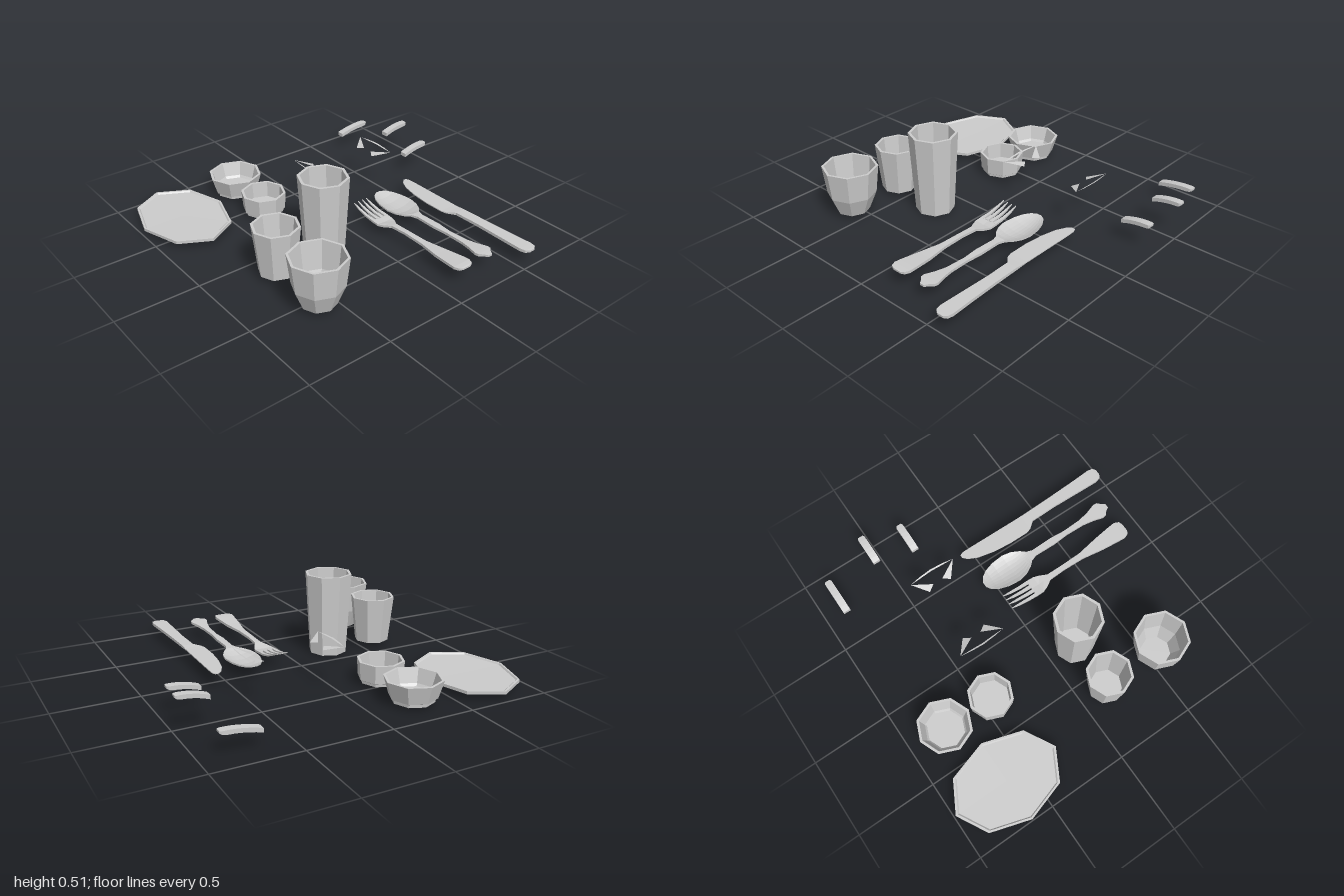
import * as THREE from 'three';

const material = new THREE.MeshStandardMaterial({ color: 0xcccccc, flatShading: true, side: THREE.DoubleSide });

function add(parent, name, geometry, x = 0, y = 0, z = 0) {
  const mesh = new THREE.Mesh(geometry, material);
  mesh.name = name;
  mesh.position.set(x, y, z);
  parent.add(mesh);
  return mesh;
}

// Eight-sided turned vessel; profile runs up the outside and down the inside
function vessel(parent, name, x, z, profile) {
  const points = profile.map(([r, y]) => new THREE.Vector2(r, y));
  return add(parent, name, new THREE.LatheGeometry(points, 8), x, 0, z);
}

// Solid strip along z. Station: [z, xLeft, xRight, topY, thickness, sag in the middle]
function strip(stations, columns = 2) {
  const pos = [], index = [], n = 2 * (columns + 1);
  for (const [z, xl, xr, y, thick, sag = 0] of stations) {
    const row = [];
    for (let j = 0; j <= columns; j++) {
      const u = j / columns;
      row.push([xl + (xr - xl) * u, y - sag * (1 - (2 * u - 1) ** 2), z]);
    }
    row.forEach((p) => pos.push(...p));
    row.reverse().forEach((p) => pos.push(p[0], p[1] - thick, p[2]));
  }
  const quad = (a, b, c, d) => index.push(a, b, c, a, c, d);
  for (let i = 0; i < stations.length - 1; i++) {
    for (let k = 0; k < n; k++) {
      const m = (k + 1) % n;
      quad(i * n + k, (i + 1) * n + k, (i + 1) * n + m, i * n + m);
    }
  }
  const last = (stations.length - 1) * n;
  for (let j = 0; j < columns; j++) {
    quad(j, j + 1, n - 2 - j, n - 1 - j);
    quad(last + n - 1 - j, last + n - 2 - j, last + j + 1, last + j);
  }
  const geometry = new THREE.BufferGeometry();
  geometry.setAttribute('position', new THREE.Float32BufferAttribute(pos, 3));
  geometry.setIndex(index);
  geometry.computeVertexNormals();
  return geometry;
}

// Symmetric stations: [z, halfWidth, topY, thickness, sag]
const even = (rows) => rows.map(([z, w, y, t, s = 0]) => [z, -w, w, y, t, s]);

export function createModel() {
  const model = new THREE.Group();
  model.name = 'tableware';

  // Oval plate on a low foot
  vessel(model, 'plate', -0.733, -0.639, [
    [0, 0.025], [0.18, 0.025], [0.185, 0.02], [0.2, 0.02], [0.205, 0.037],
    [0.263, 0.042], [0.263, 0.06], [0.252, 0.06], [0.245, 0.052], [0, 0.05],
  ]).scale.z = 0.35 / 0.263;

  // Bowls with recessed feet
  vessel(model, 'wideBowl', -0.28, -0.762, [
    [0, 0.032], [0.1, 0.032], [0.105, 0.018], [0.122, 0.018], [0.124, 0.036], [0.137, 0.042],
    [0.168, 0.147], [0.152, 0.147], [0.126, 0.065], [0.115, 0.05], [0, 0.05],
  ]);
  vessel(model, 'smallBowl', -0.278, -0.44, [
    [0, 0.032], [0.095, 0.032], [0.1, 0.018], [0.12, 0.018], [0.122, 0.034], [0.132, 0.04],
    [0.14, 0.147], [0.124, 0.147], [0.116, 0.05], [0, 0.05],
  ]);

  // Glasses and cup
  vessel(model, 'tallGlass', -0.278, 0.174, [
    [0, 0.003], [0.118, 0.003], [0.148, 0.51], [0.131, 0.51], [0.109, 0.025], [0, 0.025],
  ]);
  vessel(model, 'shortGlass', -0.603, 0.172, [
    [0, 0.03], [0.108, 0.03], [0.14, 0.32], [0.124, 0.32], [0.1, 0.048], [0, 0.048],
  ]);
  vessel(model, 'cup', -0.603, 0.55, [
    [0, 0.03], [0.1, 0.03], [0.147, 0.145], [0.168, 0.32], [0.153, 0.32],
    [0.133, 0.15], [0.092, 0.05], [0, 0.05],
  ]);

  // Fork: handle and head, then four tines
  const fork = new THREE.Group();
  fork.name = 'fork';
  fork.position.x = 0.155;
  model.add(fork);
  add(fork, 'forkHandle', strip(even([
    [0.16, 0.059, 0.08, 0.013, 0.003], [0.21, 0.058, 0.076, 0.013, 0.004], [0.25, 0.043, 0.08, 0.013],
    [0.29, 0.019, 0.088, 0.014], [0.4, 0.016, 0.094, 0.016], [0.54, 0.02, 0.094, 0.016],
    [0.68, 0.043, 0.098, 0.017], [0.8, 0.057, 0.106, 0.016], [0.84, 0.06, 0.108, 0.016],
    [0.87, 0.048, 0.107, 0.014], [0.88, 0.025, 0.105, 0.011],
  ])));
  for (const x of [-0.048, -0.016, 0.016, 0.048]) {
    add(fork, 'tine', strip(even([
      [-0.022, 0.002, 0.115, 0.005], [0.03, 0.007, 0.098, 0.009], [0.1, 0.009, 0.084, 0.012], [0.165, 0.011, 0.08, 0.013],
    ]), 1), x);
  }

  // Spoon: hollow bowl running into a waisted handle
  add(model, 'spoon', strip(even([
    [-0.07, 0.018, 0.09, 0.008], [-0.05, 0.048, 0.089, 0.009, 0.006], [-0.01, 0.074, 0.088, 0.01, 0.017],
    [0.05, 0.093, 0.087, 0.01, 0.025], [0.13, 0.101, 0.086, 0.01, 0.026], [0.19, 0.089, 0.086, 0.01, 0.02],
    [0.24, 0.062, 0.088, 0.011, 0.009], [0.27, 0.034, 0.09, 0.013], [0.31, 0.02, 0.092, 0.015],
    [0.45, 0.023, 0.094, 0.016], [0.55, 0.015, 0.094, 0.016], [0.68, 0.02, 0.097, 0.016],
    [0.75, 0.034, 0.101, 0.016], [0.81, 0.053, 0.105, 0.015], [0.835, 0.05, 0.106, 0.015],
    [0.855, 0.028, 0.106, 0.014], [0.878, 0.014, 0.105, 0.012],
  ]), 8), 0.342);

  // Knife: thin blade with a straight back, thicker handle
  add(model, 'knife', strip([
    [-0.085, 0.572, 0.592, 0.091, 0.004], [-0.06, 0.546, 0.602, 0.091, 0.005], [0, 0.517, 0.603, 0.091, 0.006],
    [0.1, 0.495, 0.602, 0.091, 0.006], [0.22, 0.483, 0.601, 0.091, 0.006], [0.35, 0.483, 0.6, 0.091, 0.006],
    [0.385, 0.494, 0.6, 0.092, 0.008], [0.43, 0.531, 0.599, 0.096, 0.016], [0.6, 0.535, 0.604, 0.097, 0.018],
    [0.8, 0.53, 0.613, 0.097, 0.018], [0.93, 0.527, 0.621, 0.097, 0.018],
    [0.965, 0.536, 0.616, 0.096, 0.016], [0.98, 0.558, 0.596, 0.094, 0.012],
  ]));

  // Mirrored thin frames: a slim bow with two pointed wings, sloping up outwards
  for (const side of [-1, 1]) {
    const outlines = [
      [[0.272, -0.47], [0.283, -0.4], [0.289, -0.32], [0.283, -0.24], [0.272, -0.168], [0.274, -0.24], [0.278, -0.32], [0.274, -0.4]],
      [[0.272, -0.47], [0.178, -0.395], [0.207, -0.352]],
      [[0.272, -0.168], [0.207, -0.288], [0.178, -0.245]],
    ];
    const shapes = outlines.map((o) => new THREE.Shape(o.map(([x, z]) => new THREE.Vector2(side * x, -z))));
    const geometry = new THREE.ShapeGeometry(shapes).rotateX(-Math.PI / 2);
    const p = geometry.attributes.position;
    for (let i = 0; i < p.count; i++) p.setY(i, 0.243 + 0.29 * (Math.abs(p.getX(i)) - 0.178));
    geometry.computeVertexNormals();
    add(model, side < 0 ? 'rightFrame' : 'leftFrame', geometry, 0.254);
  }

  // Curved slices: [x start, length, z, y start, y middle, y end] of the top side
  for (const [x, length, z, y0, y1, y2] of [
    [0.67, 0.225, -0.865, 0.112, 0.136, 0.142],
    [0.812, 0.185, -0.55, 0.191, 0.216, 0.221],
    [0.768, 0.188, -0.305, 0.14, 0.165, 0.171],
  ]) {
    const rows = [];
    for (let i = 0; i <= 6; i++) {
      const t = i / 6;
      const y = y0 * (1 - t) * (1 - 2 * t) + y1 * 4 * t * (1 - t) + y2 * t * (2 * t - 1);
      rows.push([t * length, i === 6 ? 0.016 : 0.023, y, i === 6 ? 0.012 : 0.024]);
    }
    rows.splice(6, 0, [length * 0.94, 0.023, y2, 0.02]);
    add(model, 'slice', strip(even(rows)).rotateY(Math.PI / 2), x, 0, z);
  }

  return model;
}
